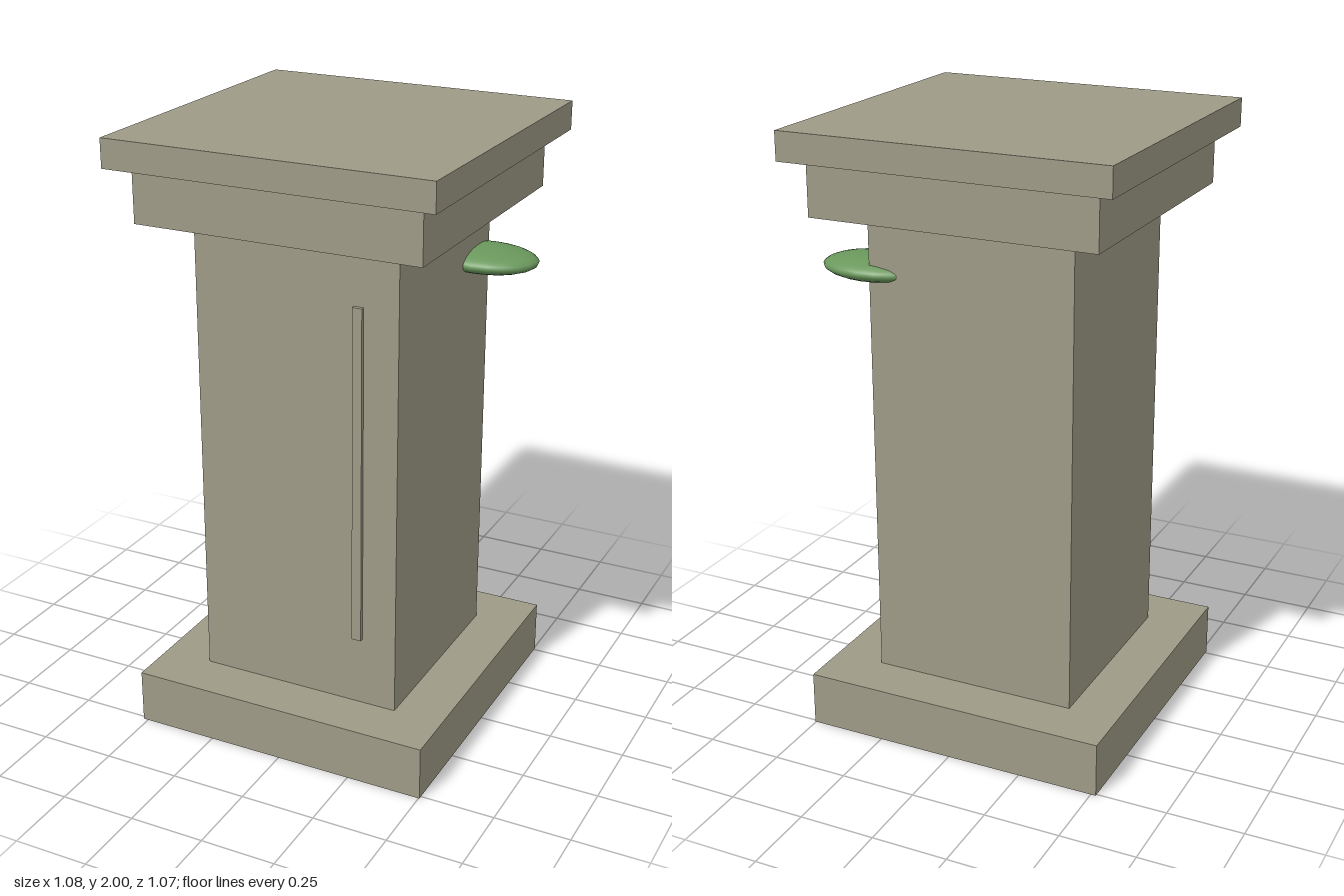
import * as THREE from 'three';

export function createModel() {
  const group = new THREE.Group();
  const stone = new THREE.MeshStandardMaterial({ color: 0x9e9a87 });
  stone.name = 'stone';
  const moss = new THREE.MeshStandardMaterial({ color: 0x6a985c });
  moss.name = 'moss';

  const centreX = -0.007;

  // Square slab between two heights, centred on the pillar axis
  function slab(name, width, bottom, top) {
    const mesh = new THREE.Mesh(new THREE.BoxGeometry(width, top - bottom, width), stone);
    mesh.name = name;
    mesh.position.set(centreX, (bottom + top) / 2, 0.002);
    group.add(mesh);
  }

  slab('base', 1.02, 0, 0.18);
  slab('shaft', 0.688, 0.18, 1.715);
  slab('capital', 0.946, 1.73, 1.907);
  slab('topSlab', 1.073, 1.907, 2);

  // Thin raised strip on the front face
  const strip = new THREE.Mesh(new THREE.BoxGeometry(0.032, 1.12, 0.03), stone);
  strip.name = 'frontStrip';
  strip.position.set(0.206, 0.974, 0.344);
  group.add(strip);

  // Flattened moss clump growing through the back left corner
  const clump = new THREE.Mesh(new THREE.SphereGeometry(1, 20, 14), moss);
  clump.name = 'mossClump';
  clump.scale.set(0.178, 0.04, 0.127);
  clump.position.set(0.362, 1.537, -0.252);
  group.add(clump);

  return group;
}
